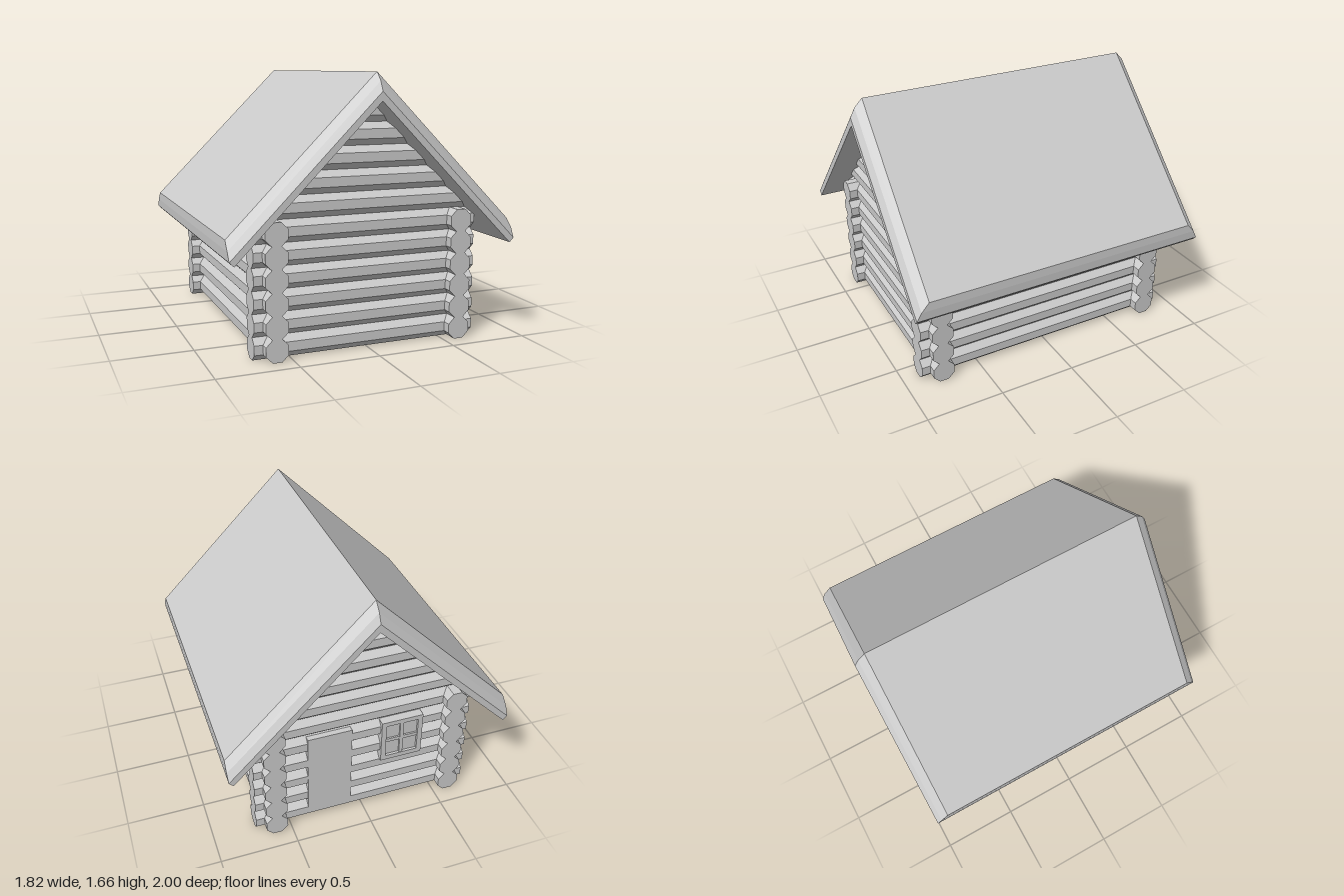
import * as THREE from 'three';

const material = new THREE.MeshStandardMaterial({ color: 0xcccccc, flatShading: true });

const PITCH = 0.137;      // vertical spacing of the logs
const APOTHEM = 0.07;     // half thickness of a log
const WALL_X = 0.6, WALL_Z = 0.765, OVERHANG = 0.125;
const RIDGE_Y = 1.665;
const R2 = Math.SQRT2;

function add(parent, name, geometry, x = 0, y = 0, z = 0) {
  const mesh = new THREE.Mesh(geometry, material);
  mesh.name = name;
  mesh.position.set(x, y, z);
  parent.add(mesh);
  return mesh;
}

function box(parent, name, w, h, d, x, y, z) {
  return add(parent, name, new THREE.BoxGeometry(w, h, d), x, y, z);
}

// Octagonal log with flat top and bottom, lying along x
function logGeometry(length) {
  const r = APOTHEM / Math.cos(Math.PI / 8);
  return new THREE.CylinderGeometry(r, r, length, 8).rotateY(Math.PI / 8).rotateZ(Math.PI / 2);
}

// Gable log whose ends follow the roof slope
function gableLogGeometry(y) {
  const g = logGeometry(1);
  const p = g.attributes.position;
  for (let i = 0; i < p.count; i++) {
    const half = Math.max(1.5 - (y + p.getY(i)) + 0.03, 0.01);
    p.setX(i, Math.sign(p.getX(i)) * half);
  }
  return g;
}

// Sloping slab on the +x side, stacked from rings: [depth, gable inset, eave inset]
function roofPanelGeometry() {
  const rings = [[0, 0.08, 0.078], [0.037, 0.03, 0.038], [0.078, 0, 0], [0.117, 0, 0]]
    .map(([p, iz, ie]) => {
      const ridge = RIDGE_Y - p * R2, z = 1 - iz;
      const x = 0.965 - (p + ie) / R2, y = 0.7 + (ie - p) / R2;
      return [[0, ridge, z], [x, y, z], [x, y, -z], [0, ridge, -z]];
    });
  const pos = [];
  const quad = (a, b, c, d) => pos.push(...a, ...b, ...c, ...a, ...c, ...d);
  quad(...rings[0]);
  for (let k = 0; k < rings.length - 1; k++) {
    const U = rings[k], L = rings[k + 1];
    for (let j = 0; j < 3; j++) quad(L[j], L[j + 1], U[j + 1], U[j]);
  }
  quad(...[...rings[rings.length - 1]].reverse());
  const g = new THREE.BufferGeometry();
  g.setAttribute('position', new THREE.Float32BufferAttribute(pos, 3));
  g.computeVertexNormals();
  return g;
}

export function createModel() {
  const cabin = new THREE.Group();
  cabin.name = 'logCabin';

  // Walls: crossing logs up to the eaves, then tapered gable logs
  const walls = new THREE.Group();
  walls.name = 'walls';
  cabin.add(walls);
  const crossLog = logGeometry(2 * (WALL_X + OVERHANG));
  const sideLog = logGeometry(2 * (WALL_Z + OVERHANG)).rotateY(Math.PI / 2);
  for (let i = 0; i < 11; i++) {
    const y = APOTHEM + i * PITCH;
    for (const s of [1, -1]) {
      const end = s > 0 ? 'front' : 'back';
      if (i < 6) {
        add(walls, end + 'WallLog', crossLog, 0, y, s * WALL_Z);
        add(walls, (s > 0 ? 'left' : 'right') + 'WallLog', sideLog, s * WALL_X, y, 0);
      } else {
        add(walls, end + 'GableLog', gableLogGeometry(y), 0, y, s * WALL_Z);
      }
    }
  }

  box(cabin, 'floor', 2 * WALL_X, 0.04, 2 * WALL_Z, 0, 0.022, 0);

  // Roof: two identical panels meeting at the ridge
  const panel = roofPanelGeometry();
  add(cabin, 'leftRoofPanel', panel);
  add(cabin, 'rightRoofPanel', panel).rotation.y = Math.PI;

  // Door on the back wall, nearly flush with the logs
  box(cabin, 'door', 0.29, 0.575, 0.08, 0.23, 0.392, -0.8);

  // Four-pane window on the back wall
  const win = new THREE.Group();
  win.name = 'window';
  win.position.set(-0.25, 0.53, -0.8);
  cabin.add(win);
  const W = 0.28, H = 0.31, B = 0.032;
  box(win, 'windowPanes', W - B, H - B, 0.076, 0, 0, 0);
  for (const s of [1, -1]) {
    box(win, 'frameUpright', B, H, 0.11, s * (W - B) / 2, 0, 0);
    box(win, 'frameRail', W - 2 * B, B, 0.11, 0, s * (H - B) / 2, 0);
  }
  box(win, 'verticalGlazingBar', 0.024, H - 2 * B, 0.1, 0, 0, 0);
  box(win, 'horizontalGlazingBar', W - 2 * B, 0.024, 0.098, 0, 0, 0);

  return cabin;
}
